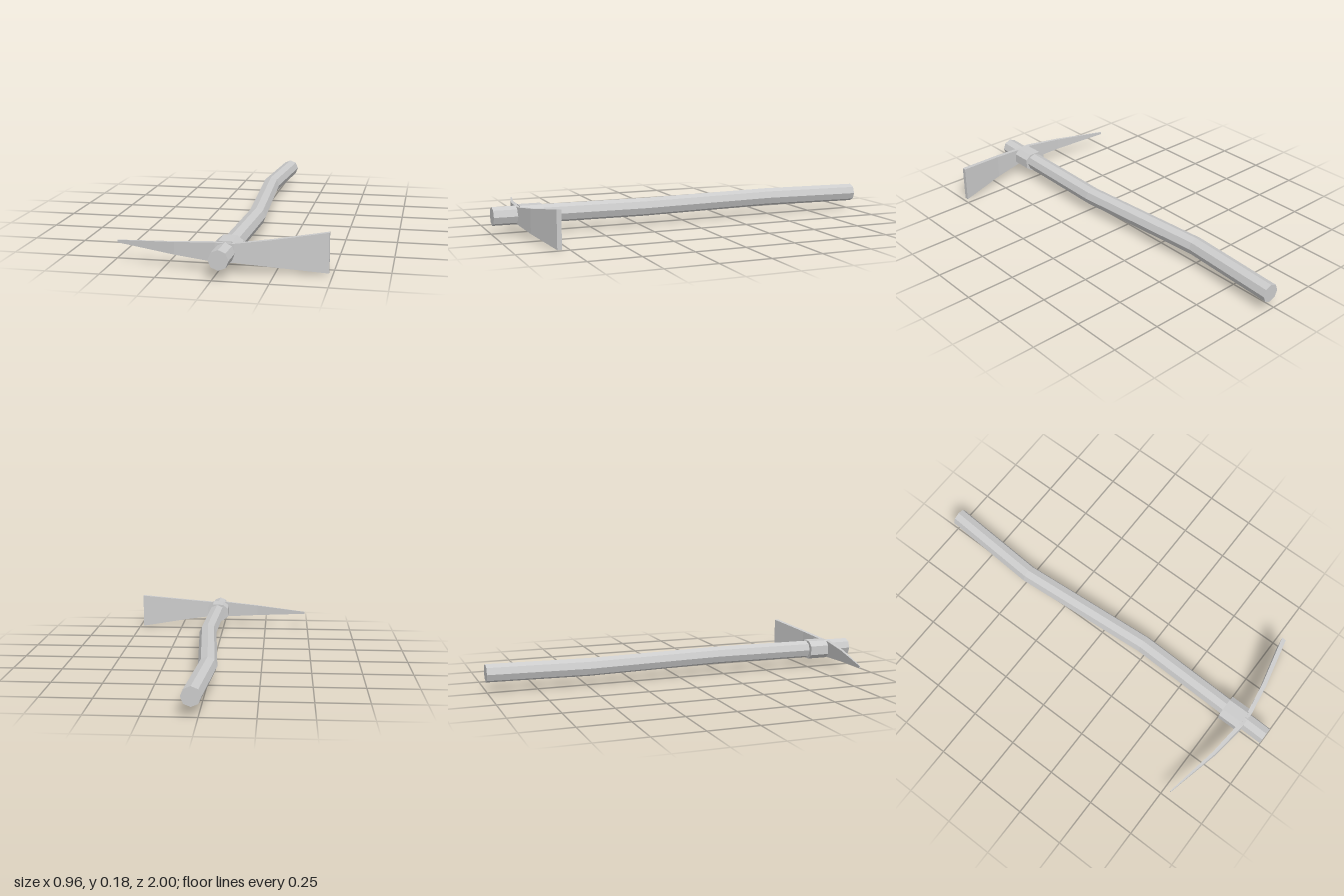
import * as THREE from 'three';

const material = new THREE.MeshStandardMaterial({ color: 0xcccccc, flatShading: true });
const AXIS_Y = 0.093;

// Joins equal-sized rings of [x, y, z] points into a closed, faceted solid.
// Rings run anticlockwise as seen from the end the loft moves towards.
function loft(name, rings) {
  const pos = [];
  const n = rings[0].length;
  const tri = (a, b, c) => pos.push(...a, ...b, ...c);
  for (let i = 0; i < rings.length - 1; i++) {
    for (let j = 0; j < n; j++) {
      const k = (j + 1) % n;
      const [a, b, c, d] = [rings[i][j], rings[i][k], rings[i + 1][k], rings[i + 1][j]];
      tri(a, b, c);
      tri(a, c, d);
    }
  }
  const first = rings[0], last = rings[rings.length - 1];
  for (let j = 1; j < n - 1; j++) {
    tri(first[0], first[j + 1], first[j]);
    tri(last[0], last[j], last[j + 1]);
  }
  const geometry = new THREE.BufferGeometry();
  geometry.setAttribute('position', new THREE.Float32BufferAttribute(pos, 3));
  geometry.computeVertexNormals();
  const mesh = new THREE.Mesh(geometry, material);
  mesh.name = name;
  return mesh;
}

// Crooked eight-sided handle: [z, centre x]
function createHandle() {
  const path = [[-1, 0.031], [-0.49, -0.002], [0.23, 0.051], [1, 0.031]];
  const rings = path.map(([z, x]) => Array.from({ length: 8 }, (_, i) => {
    const a = (i * Math.PI) / 4;
    return [x + 0.046 * Math.cos(a), AXIS_Y + 0.046 * Math.sin(a), z];
  }));
  return loft('handle', rings);
}

// Flat-topped collar gripping the handle
function createCollar() {
  const outline = [[0.06, -0.024], [0.06, 0.024], [0.03, 0.048], [-0.03, 0.048],
    [-0.06, 0.024], [-0.06, -0.024], [-0.03, -0.048], [0.03, -0.048]];
  const rings = [0.757, 0.87].map((z) => outline.map(([x, y]) => [x + 0.033, AXIS_Y + y, z]));
  return loft('collar', rings);
}

// Swept-back head, pick point to wide blade: [x, half height, back z, front z]
function createBlade() {
  const sections = [
    [-0.482, 0.006, 0.786, 0.791],
    [-0.2, 0.029, 0.841, 0.857],
    [-0.01, 0.044, 0.862, 0.884],
    [0.075, 0.043, 0.862, 0.884],
    [0.23, 0.06, 0.839, 0.861],
    [0.481, 0.092, 0.783, 0.805],
  ];
  const rings = sections.map(([x, h, back, front]) => [
    [x, AXIS_Y - h, back], [x, AXIS_Y + h, back],
    [x, AXIS_Y + h, front], [x, AXIS_Y - h, front],
  ]);
  return loft('pickAndBlade', rings);
}

export function createModel() {
  const group = new THREE.Group();
  group.name = 'mattock';
  const head = new THREE.Group();
  head.name = 'head';
  head.add(createCollar(), createBlade());
  group.add(createHandle(), head);
  return group;
}
